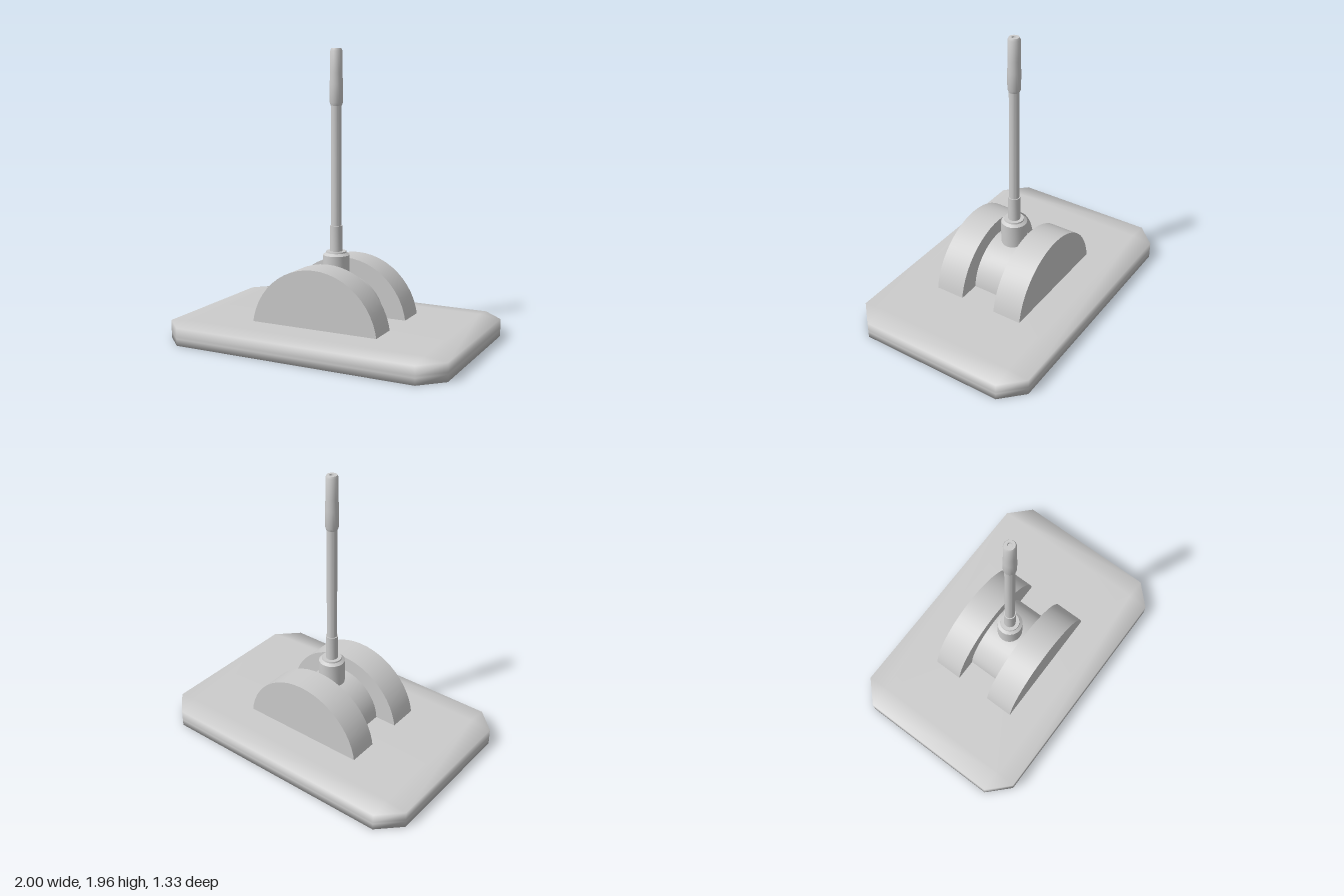
import * as THREE from 'three';
import { mergeVertices, toCreasedNormals } from 'three/addons/utils/BufferGeometryUtils.js';

const TOP = 0.137; // height of the base plate

const grey = () => new THREE.MeshStandardMaterial({ color: 0xcccccc });

function addMesh(parent, name, geometry) {
  const mesh = new THREE.Mesh(geometry, grey());
  mesh.name = name;
  parent.add(mesh);
  return mesh;
}

// Chamfered plate: octagonal rings stacked from bottom centre to top centre
function plateGeometry() {
  const X = 1, Z = 0.667, ix = 0.85, iz = 0.52;
  const octagon = [[X, -iz], [X, iz], [ix, Z], [-ix, Z], [-X, iz], [-X, -iz], [-ix, -Z], [ix, -Z]];
  const rectangle = octagon.map(([x, z]) => [Math.sign(x) * ix, Math.sign(z) * iz]);
  const centre = octagon.map(() => [0, 0]);
  const rings = [[centre, 0], [octagon, 0], [octagon, 0.045], [octagon, 0.06],
    [octagon, 0.12], [rectangle, TOP], [centre, TOP]];
  const positions = [], index = [];
  rings.forEach(([ring, y]) => ring.forEach(([x, z]) => positions.push(x, y, z)));
  for (let k = 0; k < rings.length - 1; k++) {
    for (let i = 0; i < 8; i++) {
      const a = k * 8 + i, b = k * 8 + (i + 1) % 8;
      index.push(a, a + 8, b, b, a + 8, b + 8);
    }
  }
  let geometry = new THREE.BufferGeometry();
  geometry.setAttribute('position', new THREE.Float32BufferAttribute(positions, 3));
  geometry.setIndex(index);
  geometry = mergeVertices(geometry);
  geometry.computeVertexNormals();
  return geometry;
}

// Upper part of a disc, cut off just inside the plate
function domeGeometry(radius, centreY, z0, z1) {
  const a = Math.asin((0.12 - centreY) / radius);
  const shape = new THREE.Shape();
  shape.absarc(0, centreY, radius, a, Math.PI - a, false);
  shape.closePath();
  const geometry = new THREE.ExtrudeGeometry(shape, { depth: z1 - z0, bevelEnabled: false, curveSegments: 12 });
  geometry.translate(0, 0, z0);
  return toCreasedNormals(geometry, 0.6);
}

// Turned part from [radius, height] pairs, listed bottom to top
function turned(profile) {
  const points = profile.map(([r, y]) => new THREE.Vector2(r, y));
  return toCreasedNormals(new THREE.LatheGeometry(points, 20), 0.6);
}

export function createModel() {
  const model = new THREE.Group();
  model.name = 'lever';

  addMesh(model, 'basePlate', plateGeometry());

  // Two round cheeks with a smaller drum between them
  addMesh(model, 'frontCheek', domeGeometry(0.46, 0.07, 0.13, 0.34));
  addMesh(model, 'backCheek', domeGeometry(0.46, 0.07, -0.34, -0.13));
  addMesh(model, 'pivotDrum', domeGeometry(0.3, 0.12, -0.13, 0.13));

  // Lever arm
  const arm = new THREE.Group();
  arm.name = 'leverArm';
  model.add(arm);
  addMesh(arm, 'collar', turned([[0, 0.38], [0.091, 0.38], [0.091, 0.575], [0.07, 0.59], [0.068, 0.6], [0, 0.6]]));
  addMesh(arm, 'socket', turned([[0.042, 0.59], [0.042, 0.775], [0, 0.775]]));
  addMesh(arm, 'rod', turned([[0.035, 0.77], [0.035, 1.585]]));
  // Grip with a small dimple in its top
  addMesh(arm, 'grip', turned([[0, 1.58], [0.037, 1.58], [0.044, 1.6], [0.045, 1.72], [0.041, 1.8],
    [0.041, 1.94], [0.034, 1.955], [0.016, 1.955], [0.014, 1.945], [0, 1.945]]));

  return model;
}
